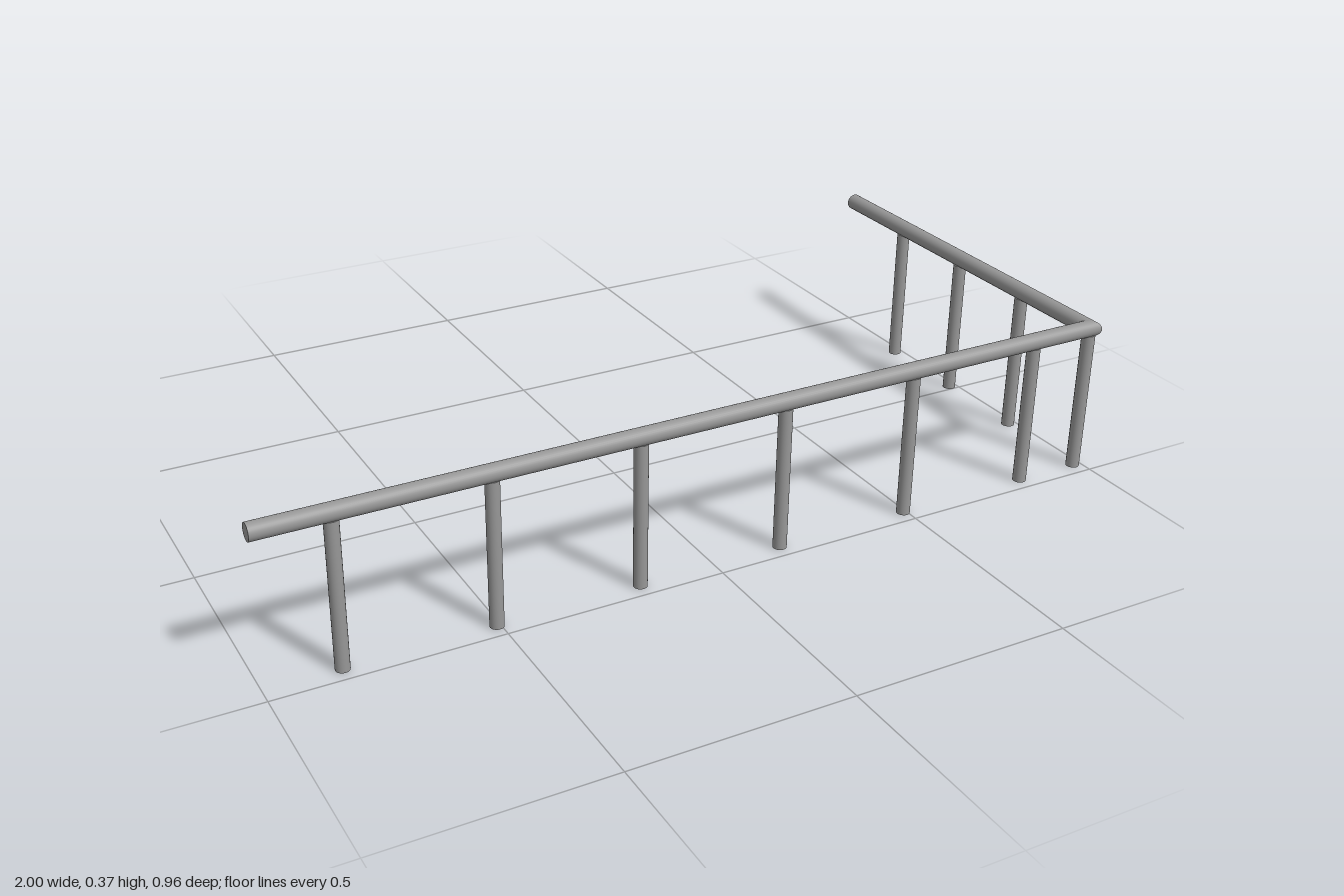
import * as THREE from 'three';

const RAIL_R = 0.0195, RAIL_Y = 0.352, POST_R = 0.0155, POST_TOP = 0.337;
const CORNER_X = 0.98, CORNER_Z = 0.463;
const material = new THREE.MeshStandardMaterial({ color: 0x979797 });

// Tube along +z from the corner (z = 0), its near end cut at 45 degrees.
// side is the x direction of the outer side of the bend.
function mitredRail(name, length, side) {
  const rail = new THREE.Group();
  rail.name = name;

  const tube = new THREE.CylinderGeometry(RAIL_R, RAIL_R, length, 32, 1, true);
  tube.rotateX(Math.PI / 2).translate(0, 0, length / 2);
  const p = tube.attributes.position;
  for (let i = 0; i < p.count; i++) {
    if (p.getZ(i) < length / 2) p.setZ(i, -side * p.getX(i));
  }
  const tubeMesh = new THREE.Mesh(tube, material);
  tubeMesh.name = name + 'Tube';

  const cap = new THREE.Mesh(new THREE.CircleGeometry(RAIL_R, 32), material);
  cap.name = name + 'EndCap';
  cap.position.z = length;

  rail.add(tubeMesh, cap);
  rail.position.set(CORNER_X, RAIL_Y, CORNER_Z);
  return rail;
}

export function createModel() {
  const model = new THREE.Group();
  model.name = 'cornerHandrail';

  // Long rail across the front, short rail running back from the corner
  const frontRail = mitredRail('frontRail', CORNER_X + 1, 1);
  frontRail.rotation.y = -Math.PI / 2;
  const sideRail = mitredRail('sideRail', CORNER_Z + 0.482, -1);
  sideRail.rotation.y = Math.PI;
  model.add(frontRail, sideRail);

  // Posts, with tops just sunk into the underside of the rail
  const postGeometry = new THREE.CylinderGeometry(POST_R, POST_R, POST_TOP, 24);
  postGeometry.translate(0, POST_TOP / 2, 0);
  const addPost = (name, x, z) => {
    const post = new THREE.Mesh(postGeometry, material);
    post.name = name;
    post.position.set(x, 0, z);
    model.add(post);
  };
  addPost('cornerPost', CORNER_X - 0.001, CORNER_Z);
  [-0.837, -0.508, -0.179, 0.165, 0.492, 0.821].forEach((x, i) => addPost('frontPost' + (i + 1), x, CORNER_Z));
  [0.223, -0.015, -0.253].forEach((z, i) => addPost('sidePost' + (i + 1), CORNER_X - 0.001, z));

  return model;
}
